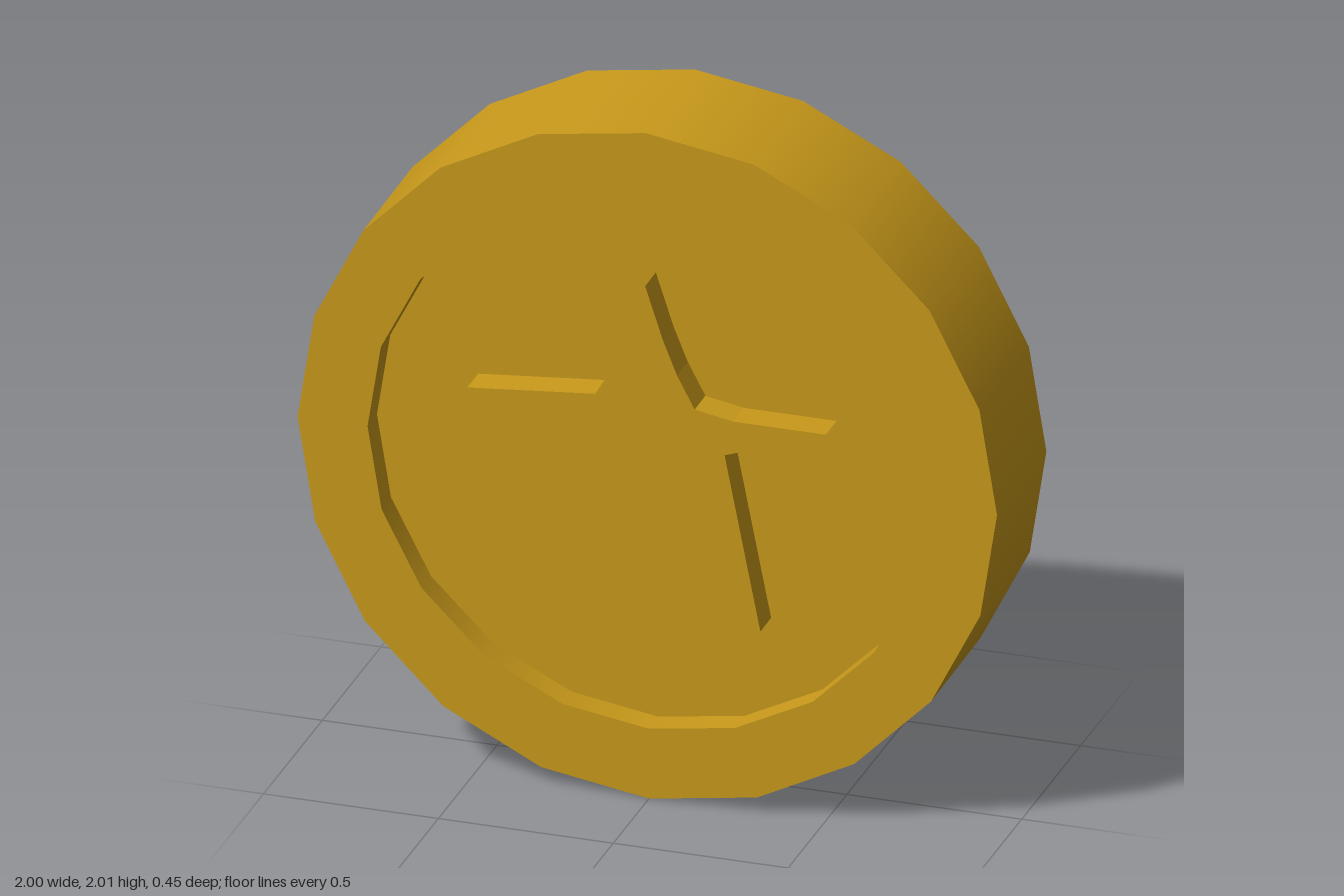
import * as THREE from 'three';

const SIDES = 20;
const HALF = 0.21; // half thickness of the disc

const gold = new THREE.MeshStandardMaterial({ color: 0xc8991a });
const goldDouble = new THREE.MeshStandardMaterial({ color: 0xc8991a, side: THREE.DoubleSide });

function add(parent, name, geometry, material = gold) {
  const mesh = new THREE.Mesh(geometry, material);
  mesh.name = name;
  parent.add(mesh);
  return mesh;
}

// Twenty-sided outline with a corner at the top
function outline(rx, ry) {
  return Array.from({ length: SIDES }, (_, i) => {
    const a = (i / SIDES) * Math.PI * 2;
    return new THREE.Vector2(rx * Math.cos(a), ry * Math.sin(a));
  });
}

// Open wall along the z axis
function wall(rx, ry, depth) {
  return new THREE.CylinderGeometry(1, 1, depth, SIDES, 1, true).rotateX(Math.PI / 2).scale(rx, ry, 1);
}

// One face: flat rim, sunken floor and raised star, facing +z
function createFace({ name, rx, ry, depth, starTop, star }) {
  const face = new THREE.Group();
  face.name = name;

  const rim = new THREE.Shape(outline(1, 1));
  rim.holes.push(new THREE.Path(outline(rx, ry).reverse()));
  add(face, 'rim', new THREE.ShapeGeometry(rim)).position.z = HALF;

  add(face, 'recessWall', wall(rx, ry, depth), goldDouble).position.z = HALF - depth / 2;

  const floor = new THREE.ShapeGeometry(new THREE.Shape(outline(rx, ry)));
  add(face, 'recessFloor', floor).position.z = HALF - depth;

  const shape = new THREE.Shape(star.map(([x, y]) => new THREE.Vector2(x, y)));
  const height = starTop - (HALF - depth);
  const raised = new THREE.ExtrudeGeometry(shape, { depth: height, bevelEnabled: false });
  add(face, 'star', raised).position.z = HALF - depth;
  return face;
}

export function createModel() {
  const coin = new THREE.Group();
  coin.name = 'coin';

  add(coin, 'edge', wall(1, 1, HALF * 2));

  // Front star is slightly irregular, with softened upper notches
  coin.add(createFace({
    name: 'frontFace', rx: 0.8, ry: 0.79, depth: 0.08, starTop: 0.221,
    star: [
      [0, 0.545], [-0.05, 0.39], [-0.09, 0.29], [-0.145, 0.2], [-0.51, 0.165],
      [-0.27, -0.085], [-0.355, -0.49], [0, -0.26], [0.325, -0.445], [0.225, 0.07],
      [0.515, 0.175], [0.25, 0.175], [0.14, 0.195], [0.09, 0.29], [0.05, 0.39],
    ],
  }));

  // Back star is larger and regular
  const back = createFace({
    name: 'backFace', rx: 0.8, ry: 0.83, depth: 0.08, starTop: 0.205,
    star: [
      [0, 0.61], [-0.185, 0.265], [-0.57, 0.21], [-0.295, -0.09], [-0.32, -0.45],
      [0, -0.26], [0.32, -0.45], [0.295, -0.09], [0.57, 0.21], [0.185, 0.265],
    ],
  });
  back.rotation.y = Math.PI;
  coin.add(back);

  // The coin leans forward a touch
  coin.rotation.x = 0.014;
  coin.position.y = 1.003;

  const model = new THREE.Group();
  model.add(coin);
  return model;
}
